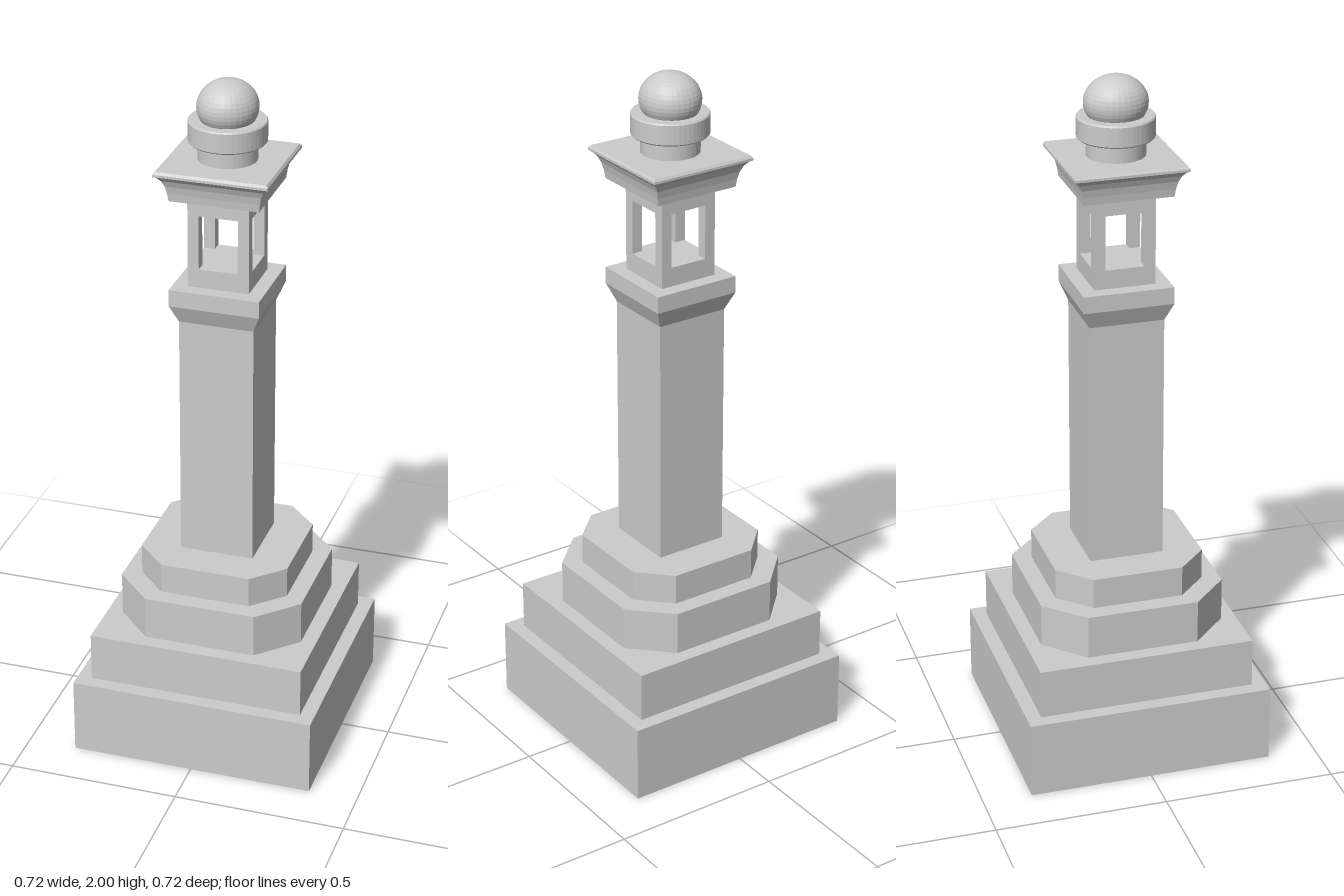
import * as THREE from 'three';

const material = new THREE.MeshStandardMaterial({ color: 0xcccccc, flatShading: true });

export function createModel() {
  const group = new THREE.Group();

  const add = (name, geometry, x = 0, y = 0, z = 0) => {
    const mesh = new THREE.Mesh(geometry, material);
    mesh.name = name;
    mesh.position.set(x, y, z);
    group.add(mesh);
    return mesh;
  };

  // Box given by half width and its bottom and top heights
  const block = (name, half, y0, y1, x = 0, z = 0) =>
    add(name, new THREE.BoxGeometry(half * 2, y1 - y0, half * 2), x, (y0 + y1) / 2, z);

  // Square moulding from a profile of [half width, height], closed at both ends
  const squareMoulding = (name, profile) => {
    const points = profile.map(([half, y]) => new THREE.Vector2(half * Math.SQRT2, y));
    points.unshift(new THREE.Vector2(0, profile[0][1]));
    points.push(new THREE.Vector2(0, profile[profile.length - 1][1]));
    return add(name, new THREE.LatheGeometry(points, 4, Math.PI / 4));
  };

  // Square slab with chamfered corners
  const chamferedSlab = (name, half, flat, y0, y1) => {
    const shape = new THREE.Shape([
      [half, -flat], [half, flat], [flat, half], [-flat, half],
      [-half, flat], [-half, -flat], [-flat, -half], [flat, -half],
    ].map(([x, y]) => new THREE.Vector2(x, y)));
    const geometry = new THREE.ExtrudeGeometry(shape, { depth: y1 - y0, bevelEnabled: false });
    geometry.rotateX(-Math.PI / 2);
    return add(name, geometry, 0, y0, 0);
  };

  // Stepped base
  block('plinth', 0.358, 0, 0.227);
  block('upperPlinth', 0.316, 0.227, 0.372);
  chamferedSlab('lowerChamferedStep', 0.272, 0.163, 0.372, 0.5);
  chamferedSlab('upperChamferedStep', 0.22, 0.132, 0.5, 0.59);

  // Shaft and flared capital
  block('shaft', 0.108, 0.59, 1.315);
  squareMoulding('capital', [[0.108, 1.315], [0.13, 1.368], [0.13, 1.417]]);

  // Open lantern: sill, four corner posts, lintel
  block('lanternSill', 0.088, 1.417, 1.472);
  for (const x of [-1, 1]) {
    for (const z of [-1, 1]) block('lanternPost', 0.016, 1.472, 1.63, x * 0.072, z * 0.072);
  }
  block('lanternLintel', 0.088, 1.63, 1.682);

  // Cornice
  squareMoulding('cornice', [
    [0.128, 1.682], [0.131, 1.705], [0.136, 1.727], [0.144, 1.745],
    [0.154, 1.757], [0.162, 1.761], [0.162, 1.768], [0.157, 1.775],
  ]);

  // Round neck and collar
  const collar = [
    [0, 1.775], [0.083, 1.775], [0.083, 1.825], [0.105, 1.825], [0.109, 1.829],
    [0.109, 1.884], [0.106, 1.888], [0, 1.888],
  ].map(([r, y]) => new THREE.Vector2(r, y));
  add('neckAndCollar', new THREE.LatheGeometry(collar, 48));

  // Slightly oval ball finial
  add('ballFinial', new THREE.SphereGeometry(1, 32, 20), 0, 1.924, 0).scale.set(0.085, 0.076, 0.09);

  return group;
}
